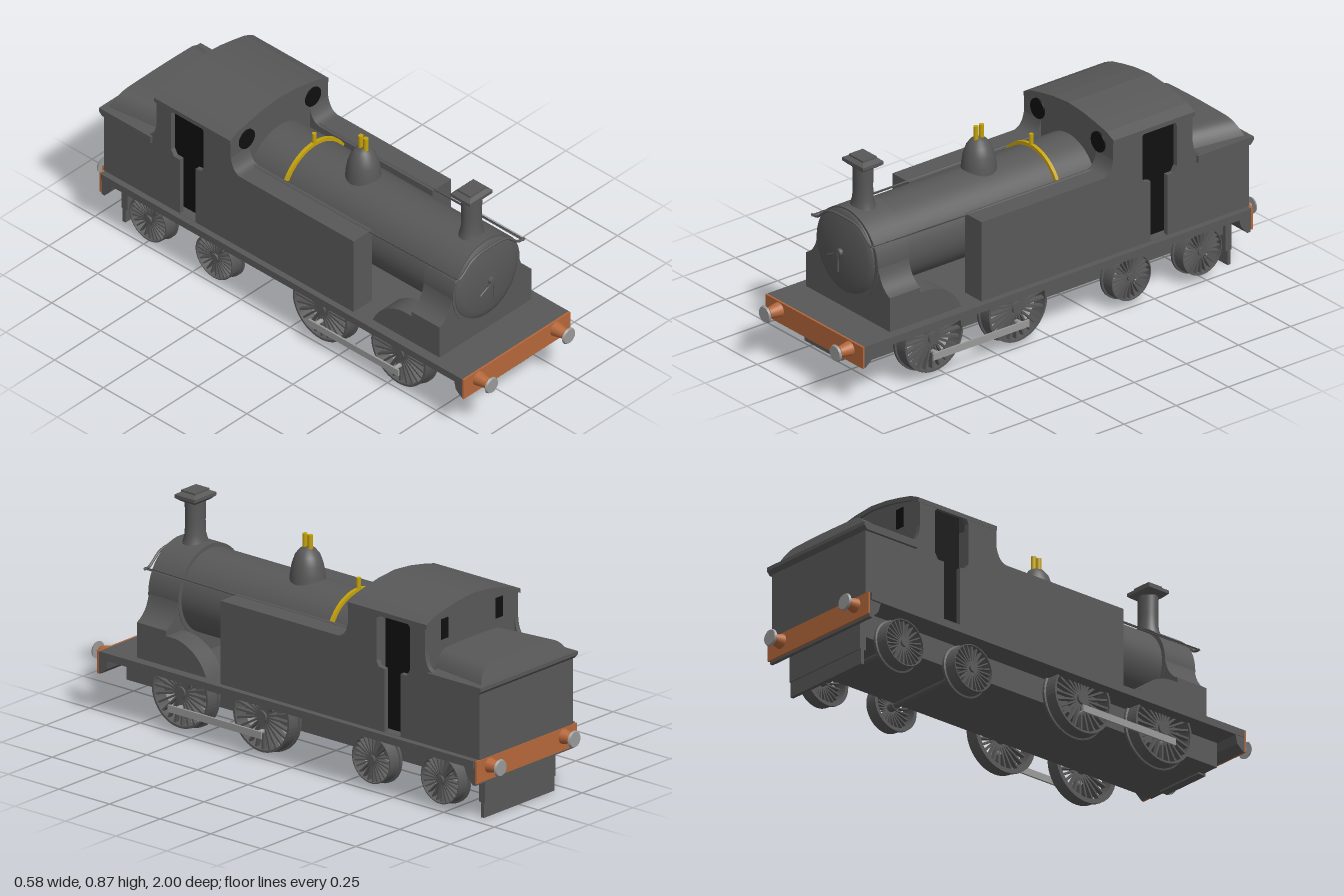
import * as THREE from 'three';

const mat = (name, color) => Object.assign(new THREE.MeshStandardMaterial({ color }), { name });

export function createModel() {
  const root = new THREE.Group();
  root.name = 'tankLocomotive';
  const grey = mat('ironGrey', 0x585858);
  const black = mat('openingBlack', 0x101010);
  const orange = mat('bufferOrange', 0xb5673a);
  const gold = mat('brassGold', 0xc4a20c);
  const steel = mat('steel', 0x999999);

  const add = (name, geo, m = grey, x = 0, y = 0, z = 0, parent = root) => {
    const mesh = new THREE.Mesh(geo, m);
    mesh.name = name;
    mesh.position.set(x, y, z);
    parent.add(mesh);
    return mesh;
  };
  // box given by its limits
  const box = (name, x0, x1, y0, y1, z0, z1, m = grey) =>
    add(name, new THREE.BoxGeometry(x1 - x0, y1 - y0, z1 - z0), m, (x0 + x1) / 2, (y0 + y1) / 2, (z0 + z1) / 2);
  const poly = pts => new THREE.Shape(pts.map(p => new THREE.Vector2(...p)));
  const extrude = (shape, depth) => new THREE.ExtrudeGeometry(shape, { depth, bevelEnabled: false, curveSegments: 20 });
  // profile drawn in (z, y), spanning x0..x1
  const sideways = (name, shape, x0, x1, m = grey) =>
    add(name, extrude(shape, x1 - x0).rotateY(-Math.PI / 2), m, x1);
  const bothSides = (name, shape, x0, x1, m) => {
    sideways(name + 'Left', shape, x0, x1, m);
    sideways(name + 'Right', shape, -x1, -x0, m);
  };
  const alongZ = (r0, r1, len, seg = 48) => new THREE.CylinderGeometry(r1, r0, len, seg).rotateX(Math.PI / 2);
  const lathe = (pts, seg = 40) => new THREE.LatheGeometry(pts.map(p => new THREE.Vector2(...p)), seg);
  const tube = (pts, r, n = 40) => new THREE.TubeGeometry(
    new THREE.CatmullRomCurve3(pts.map(p => new THREE.Vector3(...p)), false, 'catmullrom', 0.3), n, r, 8);

  // footplate, frames and beams
  box('footplate', -0.29, 0.29, 0.225, 0.255, -0.93, 0.92);
  box('mainFrame', -0.185, 0.185, 0.125, 0.225, -0.9, 0.875);
  box('frontStay', -0.11, 0.11, 0.118, 0.17, 0.85, 0.885);
  sideways('frontBeamBacking', poly([[0.92, 0.255], [0.87, 0.255], [0.885, 0.19], [0.915, 0.166], [0.92, 0.166]]), -0.288, 0.288);
  sideways('rearBeamBacking', poly([[-0.87, 0.255], [-0.935, 0.255], [-0.935, 0.156], [-0.92, 0.156], [-0.89, 0.19]]), -0.282, 0.282);
  box('frontBufferBeam', -0.29, 0.29, 0.166, 0.255, 0.92, 0.928, orange);
  box('rearBufferBeam', -0.285, 0.285, 0.166, 0.255, -0.943, -0.935, orange);
  box('rearGuardUpper', -0.2, 0.2, 0.06, 0.17, -0.91, -0.88);
  box('rearGuardLower', -0.2, 0.2, 0.0, 0.08, -0.905, -0.89);

  // buffers
  for (const end of [1, -1]) for (const x of [-0.21, 0.21]) {
    const g = new THREE.Group();
    g.name = 'buffer';
    g.position.set(x, 0.222, end > 0 ? 0.925 : -0.94);
    if (end < 0) g.rotation.y = Math.PI;
    const len = end > 0 ? 0.055 : 0.04;
    add('bufferHousing', alongZ(0.03, 0.02, len, 24), orange, 0, 0, len / 2, g);
    add('bufferRod', alongZ(0.01, 0.01, 0.02, 12), steel, 0, 0, len + 0.005, g);
    add('bufferHead', alongZ(0.034, 0.03, 0.008, 28), steel, 0, 0, (end > 0 ? 0.075 : 0.06) - 0.004, g);
    root.add(g);
  }

  // spoked wheels
  const wheel = (side, y, z, r) => {
    const g = new THREE.Group();
    g.name = 'wheel';
    g.position.set(side * 0.22, y, z);
    g.rotation.y = side * Math.PI / 2;
    const t = r * 0.1;
    const rim = lathe([[r - t, -0.03], [r + 0.004, -0.03], [r + 0.004, -0.02], [r - 0.003, -0.018],
      [r - 0.006, 0.03], [r - t, 0.03], [r - t, -0.03]], 48).rotateX(Math.PI / 2);
    const flat = rim.toNonIndexed();
    flat.computeVertexNormals();
    add('rim', flat, grey, 0, 0, 0, g);
    add('hub', alongZ(r * 0.18, r * 0.16, 0.06, 24), grey, 0, 0, 0, g);
    const n = 24;
    for (let i = 0; i < n; i++) {
      const spoke = new THREE.BoxGeometry(r * 0.055, r - t, 0.02).translate(0, (r - t) / 2, 0).rotateZ(i * 2 * Math.PI / n);
      add('spoke', spoke, grey, 0, 0, 0.012, g);
    }
    root.add(g);
  };
  for (const [z, r, y] of [[0.555, 0.145, 0.165], [0.153, 0.145, 0.165], [-0.39, 0.1, 0.123], [-0.73, 0.1, 0.123]]) {
    for (const side of [1, -1]) wheel(side, y, z, r);
    add('axle', new THREE.CylinderGeometry(0.014, 0.014, 0.4, 16).rotateZ(Math.PI / 2), grey, 0, y, z);
  }
  for (const s of [1, -1]) {
    box('couplingRod', s * 0.28 - 0.004, s * 0.28 + 0.004, 0.092, 0.12, 0.125, 0.585, steel);
    for (const z of [0.555, 0.153])
      add('crankPin', new THREE.CylinderGeometry(0.009, 0.009, 0.06, 12).rotateZ(Math.PI / 2), steel, s * 0.252, 0.106, z);
  }

  // boiler, smokebox and domed door
  add('boiler', alongZ(0.165, 0.165, 0.93, 64), grey, 0, 0.492, 0.165);
  add('smokebox', alongZ(0.182, 0.182, 0.15, 64), grey, 0, 0.49, 0.695);
  add('smokeboxDoor', lathe([[0.168, 0], [0.166, 0.008], [0.14, 0.016], [0.09, 0.024], [0.045, 0.028], [0, 0.03]], 64)
    .rotateX(Math.PI / 2), grey, -0.004, 0.497, 0.769);
  add('doorBoss', alongZ(0.016, 0.014, 0.02, 20), grey, -0.005, 0.5, 0.802);
  add('doorHandleLong', tube([[-0.005, 0.5, 0.808], [-0.072, 0.465, 0.808]], 0.004, 2));
  add('doorHandleDown', tube([[-0.003, 0.5, 0.812], [-0.002, 0.423, 0.812]], 0.004, 2));

  // smokebox saddle with curved shoulders
  const saddle = new THREE.Shape();
  saddle.moveTo(-0.25, 0.255);
  saddle.lineTo(0.25, 0.255);
  saddle.lineTo(0.25, 0.395);
  saddle.quadraticCurveTo(0.195, 0.42, 0.182, 0.49);
  saddle.lineTo(-0.182, 0.49);
  saddle.quadraticCurveTo(-0.195, 0.42, -0.25, 0.395);
  add('saddle', extrude(saddle, 0.145), grey, 0, 0, 0.622);

  // front wheel splashers
  const splasher = new THREE.Shape();
  splasher.moveTo(0.63, 0.255);
  splasher.lineTo(0.63, 0.373);
  splasher.lineTo(0.6, 0.375);
  splasher.absarc(0.6, 0.187, 0.188, Math.PI / 2, 2.77, false);
  bothSides('splasher', splasher, 0.16, 0.25);

  // chimney
  add('chimney', lathe([[0.062, 0.64], [0.052, 0.672], [0.044, 0.7], [0.042, 0.75], [0.044, 0.835]])
    .scale(1, 1, 0.85), grey, 0, 0, 0.695);
  const cap = (name, r0, r1, y0, y1) => add(name, new THREE.CylinderGeometry(r1 * Math.SQRT2, r0 * Math.SQRT2, y1 - y0, 4)
    .toNonIndexed().rotateY(Math.PI / 4).scale(1, 1, 0.8), grey, 0, (y0 + y1) / 2, 0.695).geometry.computeVertexNormals();
  cap('chimneyCapFlare', 0.042, 0.062, 0.828, 0.843);
  cap('chimneyCapBand', 0.062, 0.062, 0.843, 0.856);
  cap('chimneyCapTop', 0.062, 0.042, 0.856, 0.866);
  cap('chimneyLip', 0.042, 0.042, 0.866, 0.873);

  // steam dome with twin safety valves
  add('steamDome', lathe([[0.07, 0.62], [0.067, 0.67], [0.06, 0.71], [0.048, 0.745], [0.03, 0.768], [0, 0.778]]), grey, 0, 0, 0.14);
  for (const dz of [-0.013, 0.013])
    add('safetyValve', new THREE.CylinderGeometry(0.01, 0.01, 0.065, 16), gold, 0, 0.793, 0.14 + dz);

  // brass band with whistle
  const band = new THREE.Shape();
  band.absarc(0, 0, 0.179, 0.5, Math.PI - 0.5, false);
  band.absarc(0, 0, 0.163, Math.PI - 0.5, 0.5, true);
  add('brassBand', extrude(band, 0.014), gold, 0, 0.492, -0.118);
  add('whistle', new THREE.CylinderGeometry(0.009, 0.009, 0.05, 14), gold, 0, 0.687, -0.111);

  // handrails wrapping round the smokebox front
  add('frontHandrail', tube([[-0.19, 0.582, 0.787], [-0.155, 0.586, 0.787], [-0.1, 0.63, 0.787], [-0.05, 0.643, 0.787],
    [0.05, 0.643, 0.787], [0.1, 0.63, 0.787], [0.155, 0.586, 0.787], [0.19, 0.582, 0.787]], 0.005, 60));
  for (const s of [1, -1]) add('sideHandrail', tube([[s * 0.178, 0.584, 0.795], [s * 0.178, 0.584, -0.29]], 0.005, 2));

  // side tanks, sweeping up to the cab front
  const tank = new THREE.Shape();
  tank.moveTo(0.34, 0.255);
  tank.lineTo(0.34, 0.585);
  tank.lineTo(-0.24, 0.585);
  tank.quadraticCurveTo(-0.28, 0.59, -0.29, 0.65);
  tank.lineTo(-0.3, 0.65);
  tank.lineTo(-0.3, 0.255);
  bothSides('sideTank', tank, 0.165, 0.265);

  // cab walls with door openings
  const cabSide = new THREE.Shape();
  cabSide.moveTo(-0.29, 0.255);
  cabSide.lineTo(-0.29, 0.73);
  cabSide.lineTo(-0.67, 0.73);
  cabSide.lineTo(-0.67, 0.62);
  cabSide.quadraticCurveTo(-0.675, 0.55, -0.71, 0.545);
  cabSide.lineTo(-0.71, 0.255);
  const door = poly([[-0.47, 0.256], [-0.47, 0.505], [-0.44, 0.51], [-0.43, 0.53], [-0.43, 0.7], [-0.44, 0.72],
    [-0.58, 0.72], [-0.595, 0.7], [-0.595, 0.53], [-0.58, 0.505], [-0.55, 0.505], [-0.55, 0.256]]);
  cabSide.holes.push(door);
  bothSides('cabSide', cabSide, 0.245, 0.265);
  box('cabInterior', -0.225, 0.225, 0.256, 0.73, -0.64, -0.44, black);

  // arched cab ends and roof
  const arch = [[0.268, 0.73], [0.225, 0.75], [0.16, 0.765], [0.09, 0.778], [0, 0.786],
    [-0.09, 0.778], [-0.16, 0.765], [-0.225, 0.75], [-0.268, 0.73]];
  const endWall = poly([[-0.262, 0.255], [0.262, 0.255], ...arch.map(([x, y]) => [x * 0.98, y - 0.005])]);
  add('cabFront', extrude(endWall, 0.02), grey, 0, 0, -0.31);
  add('cabBack', extrude(endWall, 0.02), grey, 0, 0, -0.67);
  const roof = poly([...arch, ...arch.slice().reverse().map(([x, y]) => [x, y - 0.018])]);
  add('cabRoof', extrude(roof, 0.39), grey, 0, 0, -0.68);

  // cab windows
  for (const s of [1, -1]) {
    add('frontWindow', alongZ(0.041, 0.041, 0.008, 32), black, s * 0.18, 0.693, -0.288);
    box('rearWindow', s * 0.155 - 0.02, s * 0.155 + 0.02, 0.645, 0.725, -0.674, -0.667, black);
  }

  // bunker, rim and coal mound
  box('bunker', -0.265, 0.265, 0.255, 0.53, -0.94, -0.67);
  sideways('bunkerRim', poly([[-0.69, 0.545], [-0.955, 0.545], [-0.955, 0.53], [-0.94, 0.515], [-0.69, 0.515]]), -0.276, 0.276);
  const mound = new THREE.Shape();
  mound.moveTo(-0.25, 0.54);
  mound.quadraticCurveTo(-0.22, 0.602, -0.17, 0.606);
  mound.quadraticCurveTo(0, 0.615, 0.17, 0.606);
  mound.quadraticCurveTo(0.22, 0.602, 0.25, 0.54);
  const coal = extrude(mound, 0.265);
  const p = coal.attributes.position;
  for (let i = 0; i < p.count; i++) {
    // lean the back face inwards and narrow towards the cab
    const y = p.getY(i), back = p.getZ(i) < 0.1;
    if (back) p.setZ(i, (y - 0.54) * 0.4);
    else p.setX(i, p.getX(i) * 0.85);
  }
  coal.computeVertexNormals();
  add('coalMound', coal, grey, 0, 0, -0.935);

  return root;
}
